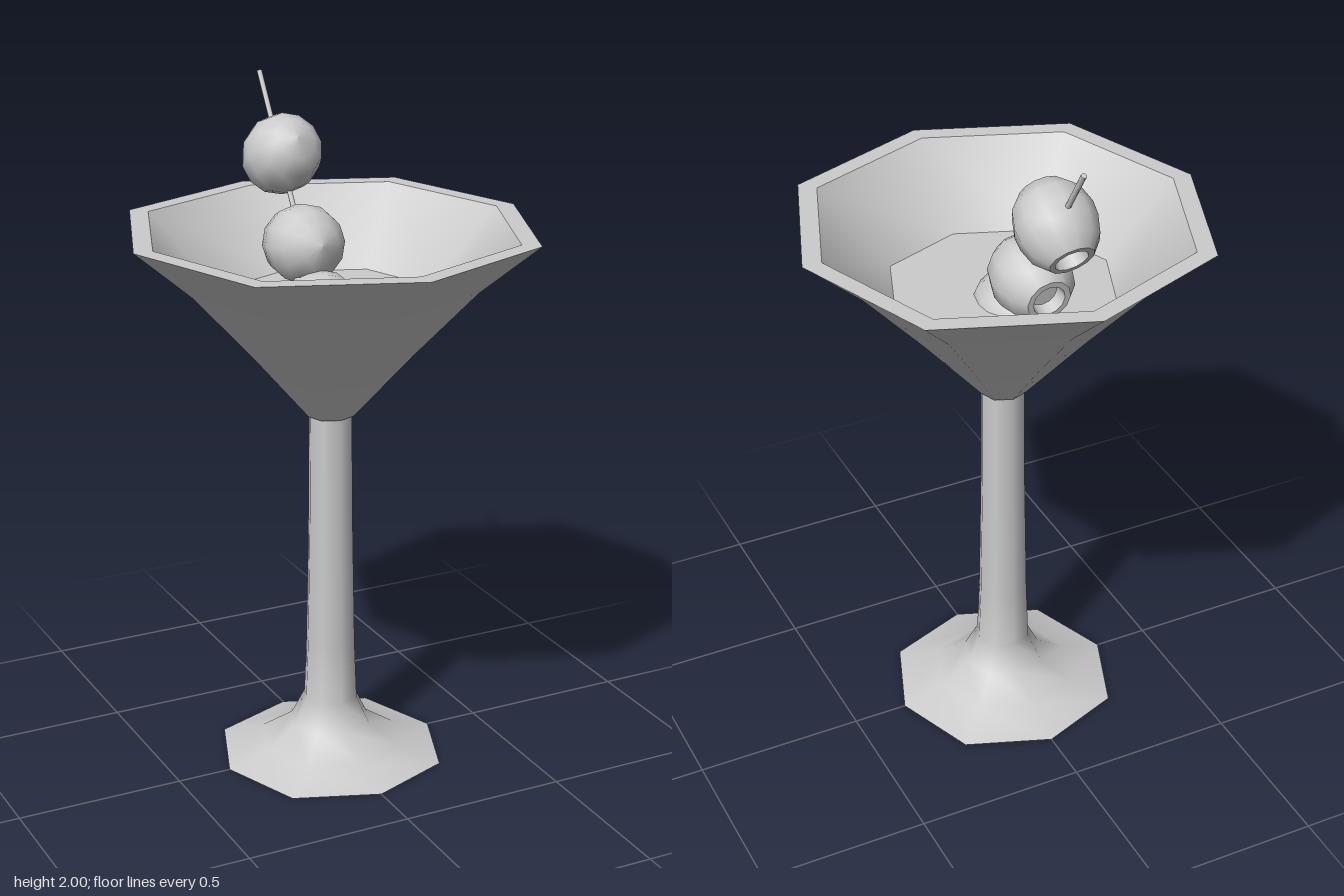
import * as THREE from 'three';

const grey = new THREE.MeshStandardMaterial({ color: 0xcccccc });
grey.name = 'plain grey';

// Turns a profile of [radius, height] pairs; running upward faces outward
function turned(name, profile, sides) {
  const points = profile.map(([r, y]) => new THREE.Vector2(r, y));
  const mesh = new THREE.Mesh(new THREE.LatheGeometry(points, sides), grey);
  mesh.name = name;
  return mesh;
}

// Eight-sided glass part, with its diagonal corners pushed out slightly
function glassPart(name, profile) {
  const mesh = turned(name, profile, 8);
  const p = mesh.geometry.attributes.position;
  for (let i = 0; i < p.count; i++) {
    const x = p.getX(i), z = p.getZ(i);
    if (Math.abs(x) > 1e-4 && Math.abs(z) > 1e-4) p.setXYZ(i, x * 1.028, p.getY(i), z * 1.028);
  }
  return mesh;
}

// Pitted olive: the open hole is at the -y end, the rounded tip at +y
function olive(name, y, z, tilt) {
  const group = new THREE.Group();
  group.name = name;
  group.add(
    turned('oliveBody', [[0.065, -0.108], [0.098, -0.07], [0.113, -0.02], [0.115, 0.02],
      [0.1, 0.075], [0.06, 0.118], [0, 0.135]], 12),
    turned('oliveHoleEdge', [[0.048, -0.108], [0.065, -0.108]], 12),
    turned('oliveHoleWall', [[0.042, -0.07], [0.048, -0.108]], 12),
    turned('oliveHoleFloor', [[0, -0.07], [0.042, -0.07]], 12)
  );
  group.position.set(0, y, z);
  group.rotation.x = Math.PI / 2 - THREE.MathUtils.degToRad(tilt);
  return group;
}

// Thin rod between two points
function rod(name, from, to, radius) {
  const dir = to.clone().sub(from);
  const mesh = new THREE.Mesh(new THREE.CylinderGeometry(radius, radius, dir.length(), 8), grey);
  mesh.position.copy(from).add(to).multiplyScalar(0.5);
  mesh.quaternion.setFromUnitVectors(new THREE.Vector3(0, 1, 0), dir.normalize());
  mesh.name = name;
  return mesh;
}

export function createModel() {
  const model = new THREE.Group();
  model.name = 'cocktailGlass';

  // Foot and stem
  model.add(
    glassPart('footUnderside', [[0, 0], [0.337, 0]]),
    glassPart('footAndStem', [[0.337, 0], [0.21, 0.04], [0.12, 0.1], [0.081, 0.18],
      [0.074, 0.36], [0.067, 0.75], [0.064, 1.09]])
  );

  // Bowl: collar, flared outside, flat rim and inner wall
  model.add(
    glassPart('bowlCollar', [[0, 1.08], [0.07, 1.08]]),
    glassPart('bowlOutside', [[0.07, 1.08], [0.24, 1.28], [0.425, 1.485], [0.597, 1.635]]),
    glassPart('bowlRim', [[0.597, 1.635], [0.54, 1.635]]),
    glassPart('bowlInside', [[0.54, 1.635], [0.33, 1.42]]),
    glassPart('drinkSurface', [[0.33, 1.42], [0, 1.42]])
  );

  // Pick leaning to the back, with three olives
  model.add(
    rod('pick', new THREE.Vector3(0, 1.27, -0.005), new THREE.Vector3(0, 1.996, -0.468), 0.008),
    olive('topOlive', 1.777, -0.322, 33),
    olive('middleOlive', 1.545, -0.18, 10),
    olive('bottomOlive', 1.375, -0.07, 15)
  );
  return model;
}
